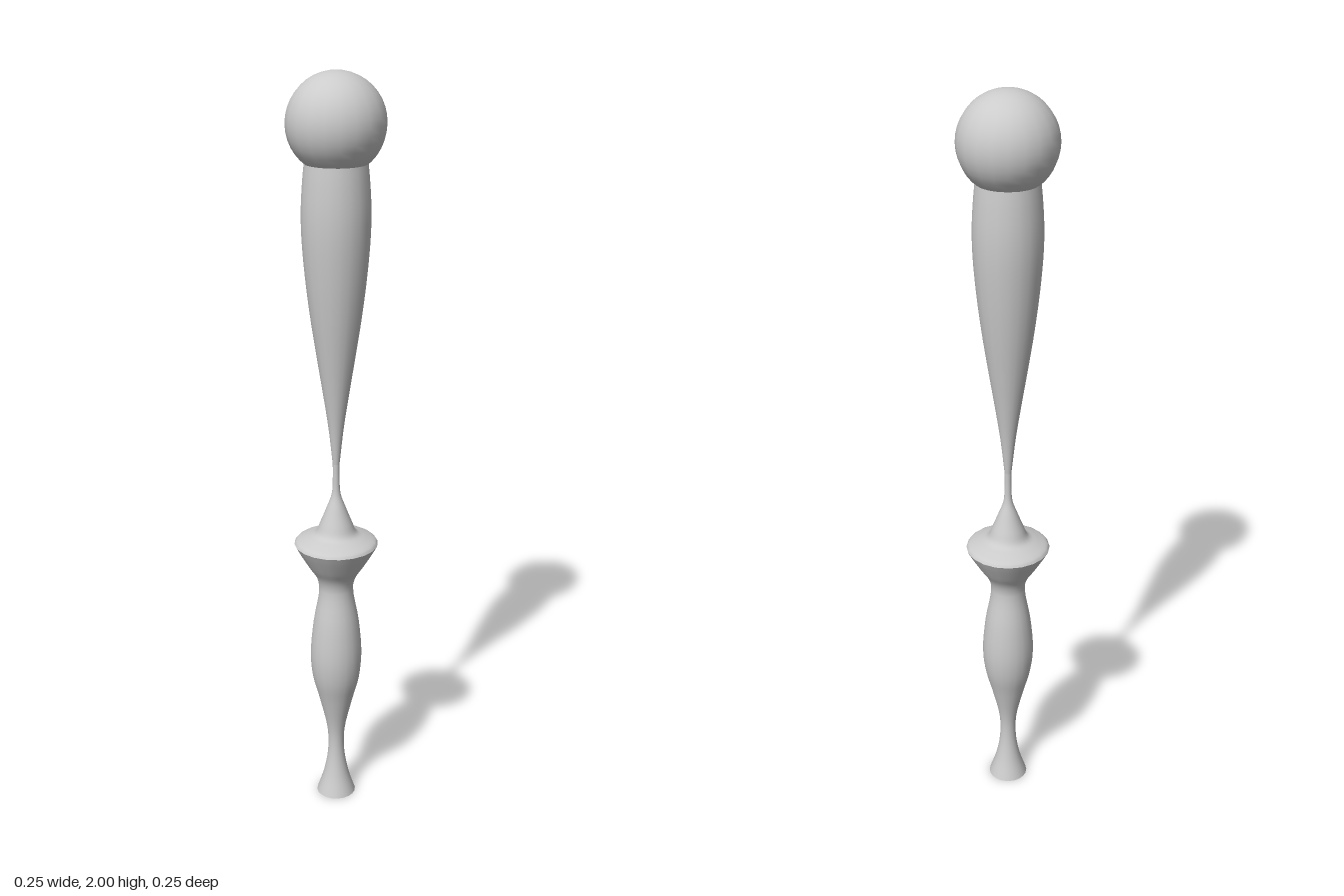
import * as THREE from 'three';

// Smooth curve through [radius, height] pairs
function smoothProfile(pairs, divisions) {
  const points = pairs.map(([r, y]) => new THREE.Vector3(r, y, 0));
  return new THREE.CatmullRomCurve3(points, false, 'centripetal')
    .getPoints(divisions)
    .map((p) => new THREE.Vector2(p.x, p.y));
}

export function createModel() {
  const group = new THREE.Group();
  group.name = 'turnedRod';
  const material = new THREE.MeshStandardMaterial({ color: 0xcccccc, side: THREE.DoubleSide });

  const addTurned = (name, pairs, divisions) => {
    const mesh = new THREE.Mesh(new THREE.LatheGeometry(smoothProfile(pairs, divisions), 20), material);
    mesh.name = name;
    group.add(mesh);
  };

  // Handle with a flared open foot, a swelling grip and a wide collar
  addTurned('handle', [
    [0.054, 0], [0.035, 0.06], [0.023, 0.13], [0.024, 0.2], [0.046, 0.3],
    [0.064, 0.37], [0.07, 0.44], [0.062, 0.54], [0.046, 0.64],
    [0.053, 0.675], [0.075, 0.71], [0.1, 0.752], [0.112, 0.774],
  ], 48);

  // Collar top sweeping up into the narrow neck
  addTurned('collar', [
    [0.112, 0.774], [0.106, 0.782], [0.082, 0.793], [0.056, 0.805],
    [0.042, 0.835], [0.025, 0.878], [0.012, 0.915], [0.009, 0.96], [0.009, 1.0],
  ], 32);

  // Shaft widening towards the ball
  addTurned('shaft', [
    [0.009, 1.0], [0.02, 1.1], [0.035, 1.2], [0.051, 1.3], [0.066, 1.4],
    [0.078, 1.5], [0.086, 1.6], [0.087, 1.67], [0.083, 1.74], [0.078, 1.79],
  ], 36);

  // Ball on top
  const ball = new THREE.Mesh(new THREE.SphereGeometry(0.124, 20, 20), material);
  ball.name = 'ball';
  ball.position.y = 1.876;
  group.add(ball);

  return group;
}
